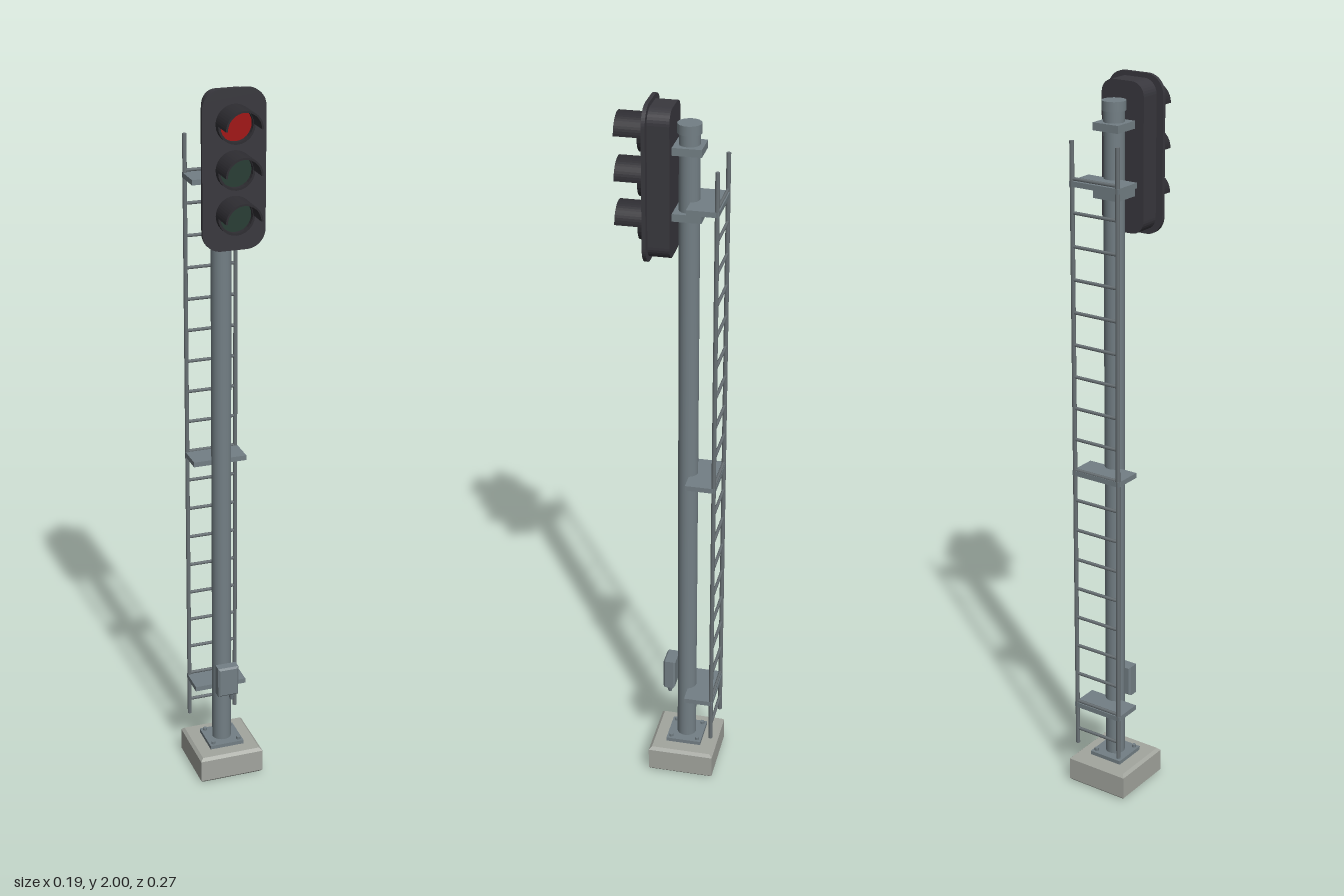
import * as THREE from 'three';

const mat = (name, color) => {
  const m = new THREE.MeshStandardMaterial({ color });
  m.name = name;
  return m;
};

export function createModel() {
  const steel = mat('galvanised steel', 0x737f85);
  const ladderSteel = mat('ladder steel', 0x6a7276);
  const concrete = mat('concrete', 0xa2a59e);
  const black = mat('signal black', 0x39383e);
  const hoodBlack = mat('hood black', 0x2e2d32);
  const red = mat('lit red lens', 0xa01414);
  const green = mat('dark green lens', 0x283d34);

  const root = new THREE.Group();
  root.name = 'signalPost';
  const poleZ = -0.045;

  const add = (name, geo, material, x = 0, y = 0, z = 0, parent = root) => {
    const m = new THREE.Mesh(geo, material);
    m.name = name;
    m.position.set(x, y, z);
    parent.add(m);
    return m;
  };
  const box = (name, material, w, h, d, x, y, z) =>
    add(name, new THREE.BoxGeometry(w, h, d), material, x, y, z);
  const cyl = (name, material, rTop, rBottom, y0, y1, x, z, sides = 16) =>
    add(name, new THREE.CylinderGeometry(rTop, rBottom, y1 - y0, sides), material, x, (y0 + y1) / 2, z);

  // Rectangle with rounded corners, centred on the origin
  const roundedRect = (w, h, r) => {
    const s = new THREE.Shape();
    [[1, 1, 0], [-1, 1, 1], [-1, -1, 2], [1, -1, 3]].forEach(([sx, sy, q]) =>
      s.absarc(sx * (w / 2 - r), sy * (h / 2 - r), r, q * Math.PI / 2, (q + 1) * Math.PI / 2, false));
    return s;
  };
  const extrude = (shape, depth, curveSegments, bevel = 0) => {
    const g = new THREE.ExtrudeGeometry(shape, {
      depth: depth - 2 * bevel, curveSegments, bevelEnabled: bevel > 0,
      bevelSize: bevel, bevelThickness: bevel, bevelOffset: -bevel, bevelSegments: 1,
    });
    return g.translate(0, 0, bevel);
  };
  const square = (w, h) => new THREE.Shape([
    new THREE.Vector2(-w / 2, -h / 2), new THREE.Vector2(w / 2, -h / 2),
    new THREE.Vector2(w / 2, h / 2), new THREE.Vector2(-w / 2, h / 2)]);

  // Chamfered foundation, base plate and anchor bolts
  const foundation = extrude(square(0.186, 0.186), 0.08, 1, 0.008).rotateX(-Math.PI / 2);
  add('foundation', foundation, concrete, 0, 0, poleZ);
  box('basePlate', steel, 0.1, 0.012, 0.1, 0, 0.085, poleZ);
  for (const sx of [-1, 1]) for (const sz of [-1, 1])
    cyl('anchorBolt', steel, 0.006, 0.006, 0.088, 0.099, sx * 0.038, poleZ + sz * 0.038, 6);

  // Mast and cap
  cyl('mast', steel, 0.027, 0.027, 0.08, 1.935, 0, poleZ, 20);
  cyl('mastCap', steel, 0.031, 0.031, 1.92, 1.945, 0, poleZ, 20);

  // Ladder with its mounting brackets
  const ladderZ = -0.129;
  for (const s of [-1, 1]) cyl('ladderRail', ladderSteel, 0.006, 0.006, 0.13, 1.85, s * 0.0695, ladderZ, 8);
  for (let i = 0; i < 19; i++) {
    const rung = new THREE.CylinderGeometry(0.0045, 0.0045, 0.139, 6).rotateZ(Math.PI / 2);
    add('ladderRung', rung, ladderSteel, 0, 0.177 + i * 0.0876, ladderZ);
  }
  for (const y of [0.253, 0.957, 1.741])
    box('ladderBracket', steel, 0.15, 0.014, 0.082, 0, y, -0.093);

  // Clamps holding the signal head
  for (const y of [1.881, 1.709]) box('headClamp', steel, 0.076, 0.02, 0.08, 0, y, -0.043);

  // Junction box with cable gland
  add('junctionBox', extrude(square(0.06, 0.09), 0.034, 1, 0.005), steel, 0, 0.302, -0.015);
  cyl('cableGland', steel, 0.011, 0.005, 0.236, 0.26, 0.014, 0.002, 10);

  // Signal head: housing and backboard
  const head = new THREE.Group();
  head.name = 'signalHead';
  root.add(head);
  add('housing', extrude(roundedRect(0.128, 0.388, 0.036), 0.06, 4), black, 0, 1.794, -0.008, head);
  add('backboard', extrude(roundedRect(0.168, 0.412, 0.05), 0.01, 6), black, 0, 1.794, 0.048, head);

  // Each lamp: lens, short ring and half-round hood
  const ring = new THREE.Shape().absarc(0, 0, 0.049, 0, Math.PI * 2, false);
  ring.holes.push(new THREE.Path().absarc(0, 0, 0.043, 0, Math.PI * 2, true));
  const hood = new THREE.Shape();
  hood.absarc(0, 0, 0.049, 0, Math.PI, false);
  hood.absarc(0, 0, 0.044, Math.PI, 0, true);
  hood.closePath();
  [1.913, 1.797, 1.681].forEach((y, i) => {
    const lens = new THREE.CylinderGeometry(0.0435, 0.0435, 0.006, 24).rotateX(Math.PI / 2);
    add('lens', lens, i === 0 ? red : green, 0, y, 0.061, head);
    add('lensRing', extrude(ring, 0.02, 12), hoodBlack, 0, y, 0.057, head);
    add('hood', extrude(hood, 0.079, 12), hoodBlack, 0, y, 0.057, head);
  });

  return root;
}
